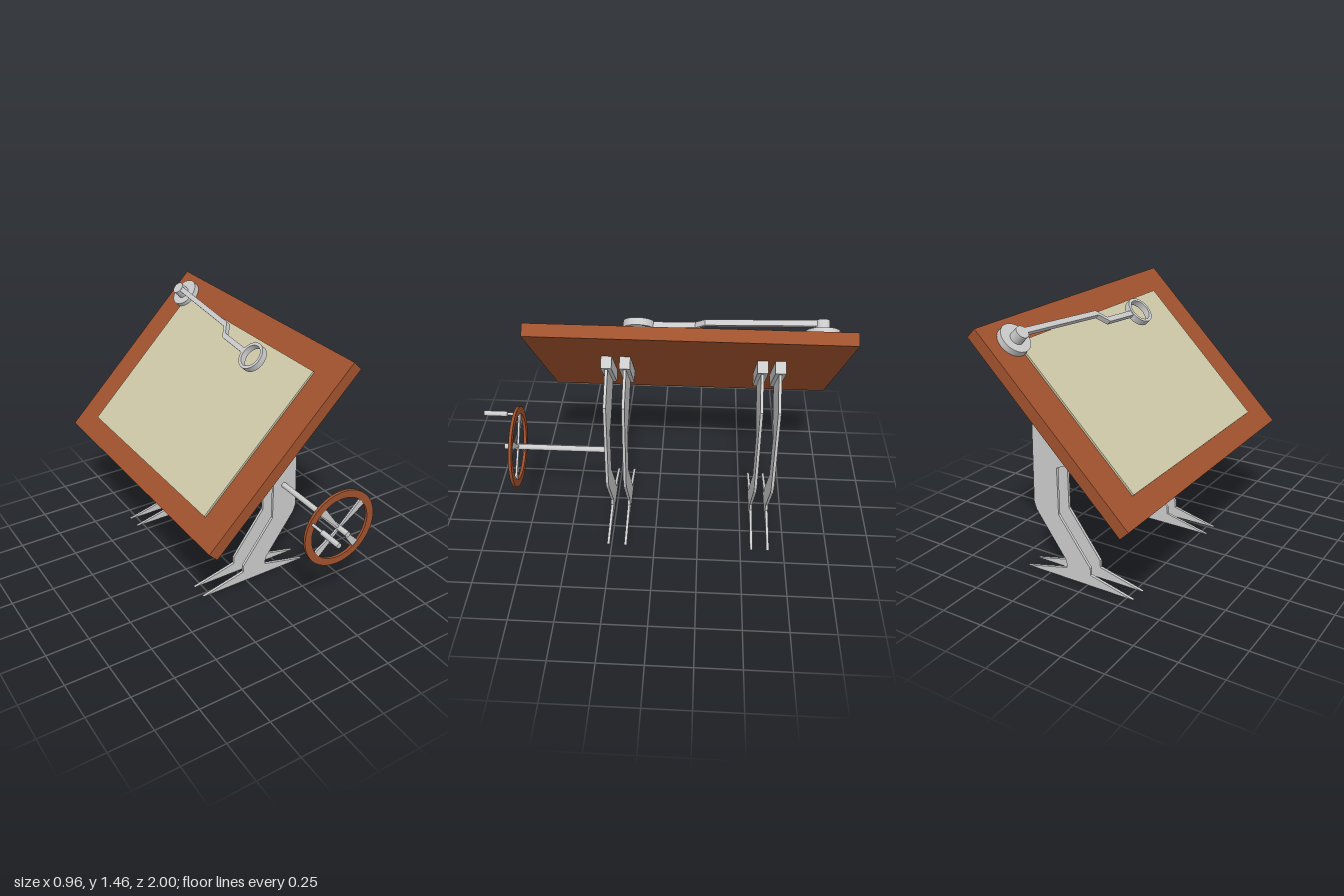
import * as THREE from 'three';

const grey = new THREE.MeshStandardMaterial({ color: 0xcccccc });
const wood = new THREE.MeshStandardMaterial({ color: 0xa0522d });
const paper = new THREE.MeshStandardMaterial({ color: 0xcfc8a8 });

function add(parent, name, geometry, material, x = 0, y = 0, z = 0) {
  const mesh = new THREE.Mesh(geometry, material);
  mesh.name = name;
  mesh.position.set(x, y, z);
  parent.add(mesh);
  return mesh;
}

const box = (w, h, d) => new THREE.BoxGeometry(w, h, d);

// Flat plate extruded along z, centred on z = 0
function plate(shape, depth) {
  return new THREE.ExtrudeGeometry(shape, { depth, bevelEnabled: false, curveSegments: 32 })
    .translate(0, 0, -depth / 2);
}

const polygon = (pts) => new THREE.Shape(pts.map(([x, y]) => new THREE.Vector2(x, y)));

function ringShape(outer, inner) {
  const shape = new THREE.Shape().absarc(0, 0, outer, 0, Math.PI * 2);
  shape.holes.push(new THREE.Path().absarc(0, 0, inner, 0, Math.PI * 2, true));
  return shape;
}

// Cylinder lying along z between two depths
function rod(radius, z0, z1) {
  return new THREE.CylinderGeometry(radius, radius, z1 - z0, 16)
    .rotateX(Math.PI / 2).translate(0, 0, (z0 + z1) / 2);
}

function createTop() {
  // Local x runs up the slope, local y is the normal of the board
  const top = new THREE.Group();
  top.name = 'tiltedTop';
  top.position.set(-0.03, 1.0125, 0);
  top.rotation.z = Math.PI / 4;
  add(top, 'drawingBoard', box(1.202, 0.068, 1.655), wood, 0, 0, -0.1725);
  add(top, 'paperSheet', box(0.93, 0.012, 1.29), paper, -0.008, 0.039, -0.175);

  // Swinging arm with round base and end ring
  const arm = new THREE.Group();
  arm.name = 'draftingArm';
  top.add(arm);
  add(arm, 'armBase', new THREE.CylinderGeometry(0.085, 0.085, 0.035, 32), grey, 0.472, 0.0515, -0.84);
  add(arm, 'armPivot', new THREE.CylinderGeometry(0.036, 0.036, 0.056, 24), grey, 0.467, 0.097, -0.84);
  const ring = plate(ringShape(0.08, 0.063), 0.038).rotateX(Math.PI / 2);
  add(arm, 'armRing', ring, grey, 0.347, 0.107, 0.095);

  // Bent bar: one outline offset to both sides of its centre line
  const path = [[0.472, -0.82], [0.424, -0.25], [0.366, -0.2], [0.35, 0.022]];
  const w = 0.015;
  const outline = [
    ...path.map(([x, z]) => [x + w, -z]),
    ...path.slice().reverse().map(([x, z]) => [x - w, -z]),
  ];
  const bar = plate(polygon(outline), 0.03).rotateX(-Math.PI / 2);
  add(arm, 'armBar', bar, grey, 0, 0.107, 0);
  return top;
}

function createLegs() {
  const legs = new THREE.Group();
  legs.name = 'legs';
  const profile = polygon([
    [-0.29, 0], [0.407, 0], [0.136, 0.066], [0.136, 0.108], [0.325, 0.375],
    [0.34, 0.42], [0.326, 0.925], [0.16, 1.085], [-0.07, 0.855],
    [0.09, 0.695], [0.178, 0.655], [0.178, 0.38], [-0.02, 0.108], [-0.02, 0.066],
  ]);
  const legGeometry = plate(profile, 0.016);
  for (const z of [0.27, 0.17, -0.565, -0.66]) {
    add(legs, 'legPlate', legGeometry, grey, 0, 0, z);
    // Bracket under the board
    add(legs, 'boardBracket', box(0.37, 0.068, 0.058), grey, 0.034, 0.981, z)
      .rotation.z = Math.PI / 4;
  }
  return legs;
}

function createWheel() {
  const wheel = new THREE.Group();
  wheel.name = 'handWheel';
  wheel.position.set(0.25, 0.583, 0);
  add(wheel, 'wheelShaft', rod(0.016, 0.262, 0.853), grey);
  add(wheel, 'wheelRim', plate(ringShape(0.228, 0.185), 0.016), wood, 0, 0, 0.777);

  // Spokes widen toward the rim
  const spoke = plate(polygon([[0, -0.005], [0.19, -0.022], [0.19, 0.022], [0, 0.005]]), 0.012);
  for (let i = 0; i < 4; i++) {
    add(wheel, 'wheelSpoke', spoke, grey, 0, 0, 0.777).rotation.z = (40 + 90 * i) * Math.PI / 180;
  }

  // Crank handle: thin pin and thicker grip
  add(wheel, 'handlePin', rod(0.008, 0.77, 0.87), grey, -0.184, 0.09);
  add(wheel, 'handleGrip', rod(0.015, 0.865, 1.0), grey, -0.184, 0.09);
  return wheel;
}

export function createModel() {
  const model = new THREE.Group();
  model.name = 'draftingTable';
  model.add(createTop(), createLegs(), createWheel());
  return model;
}
